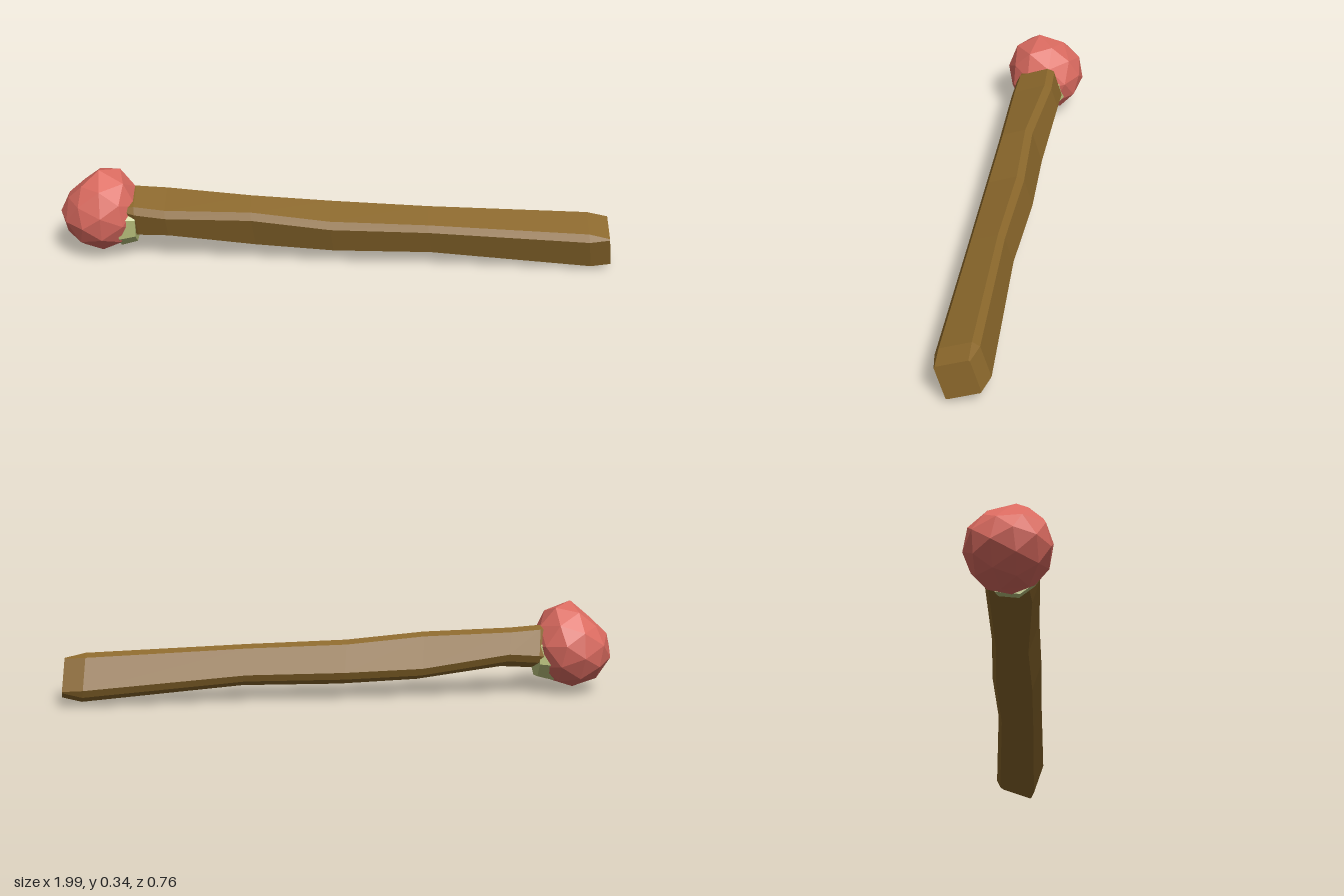
import * as THREE from 'three';

const wood = new THREE.MeshStandardMaterial({ color: 0x8a672b });
wood.name = 'wood brown';
const red = new THREE.MeshStandardMaterial({ color: 0xdb6b60 });
red.name = 'head red';
const green = new THREE.MeshStandardMaterial({ color: 0xb9c17c });
green.name = 'collar green';
for (const m of [wood, red, green]) m.flatShading = true;

// Directions of the tilted stick section: along = UP x SIDE
const UP = new THREE.Vector3(0, 0.94, 0.34);
const SIDE = new THREE.Vector3(0.3, -0.33, 0.9);

// Chamfered rectangle around a station: x, y, z, half height, half width, chamfer
function section([x, y, z, h, w, c]) {
  const corners = [
    [h, w - c], [h - c, w], [c - h, w], [-h, w - c],
    [-h, c - w], [c - h, -w], [h - c, -w], [h, c - w],
  ];
  return corners.map(([u, v]) =>
    new THREE.Vector3(x, y, z).addScaledVector(UP, u).addScaledVector(SIDE, v));
}

// Closed skin over a row of equal rings, with flat faces
function loft(rings) {
  const n = rings[0].length;
  const pos = [];
  const tri = (...pts) => pts.forEach((p) => pos.push(p.x, p.y, p.z));
  for (let i = 0; i < rings.length - 1; i++) {
    for (let j = 0; j < n; j++) {
      const k = (j + 1) % n;
      const [a, b] = [rings[i][j], rings[i][k]];
      const [c, d] = [rings[i + 1][j], rings[i + 1][k]];
      tri(a, b, c);
      tri(b, d, c);
    }
  }
  const first = rings[0];
  const last = rings[rings.length - 1];
  for (let j = 1; j < n - 1; j++) {
    tri(first[0], first[j + 1], first[j]);
    tri(last[0], last[j], last[j + 1]);
  }
  const g = new THREE.BufferGeometry();
  g.setAttribute('position', new THREE.Float32BufferAttribute(pos, 3));
  g.computeVertexNormals();
  return g;
}

// Rounded low-poly head drawn up to a leaning tip
function headGeometry() {
  const radius = 0.153;
  const tip = new THREE.Vector3(-0.065, 0.24, 0.032);
  const tipDir = tip.clone().normalize();
  const g = new THREE.IcosahedronGeometry(1, 1);
  const corner = new THREE.Vector3(0, (1 + Math.sqrt(5)) / 2, 1).normalize();
  g.applyQuaternion(new THREE.Quaternion().setFromUnitVectors(corner, tipDir));
  const p = g.attributes.position;
  const d = new THREE.Vector3();
  for (let i = 0; i < p.count; i++) {
    d.fromBufferAttribute(p, i).normalize();
    const t = Math.max(0, d.dot(tipDir));
    if (t > 0.99) d.copy(tip);
    else d.multiplyScalar(radius * (1 + 0.55 * (d.x + 0.2) * t ** 3));
    p.setXYZ(i, d.x, d.y, d.z);
  }
  g.computeVertexNormals();
  return g;
}

export function createModel() {
  const model = new THREE.Group();
  model.name = 'matchstick';
  const add = (name, geometry, material) => {
    const mesh = new THREE.Mesh(geometry, material);
    mesh.name = name;
    model.add(mesh);
    return mesh;
  };

  // Crooked wooden stick, from inside the head to the free end
  const stations = [
    [-0.78, 0.178, 0.215, 0.06, 0.06, 0.004],
    [-0.72, 0.178, 0.195, 0.072, 0.08, 0.022],
    [-0.61, 0.177, 0.165, 0.064, 0.085, 0.022],
    [-0.3, 0.152, 0.078, 0.083, 0.068, 0.022],
    [-0.02, 0.135, -0.007, 0.075, 0.078, 0.022],
    [0.33, 0.132, -0.105, 0.07, 0.071, 0.02],
    [0.895, 0.101, -0.283, 0.083, 0.081, 0.022],
    [0.968, 0.101, -0.3, 0.065, 0.064, 0.004],
  ];
  add('stick', loft(stations.map(section)), wood);

  // Head
  add('head', headGeometry(), red).position.set(-0.855, 0.178, 0.228);

  // Collar peeking out between head and stick
  const collar = add('collar', new THREE.CylinderGeometry(0.09, 0.108, 0.06, 8), green);
  collar.quaternion.setFromUnitVectors(
    new THREE.Vector3(0, 1, 0), new THREE.Vector3(0.955, -0.02, -0.28).normalize());
  collar.position.set(-0.75, 0.15, 0.205);

  return model;
}
